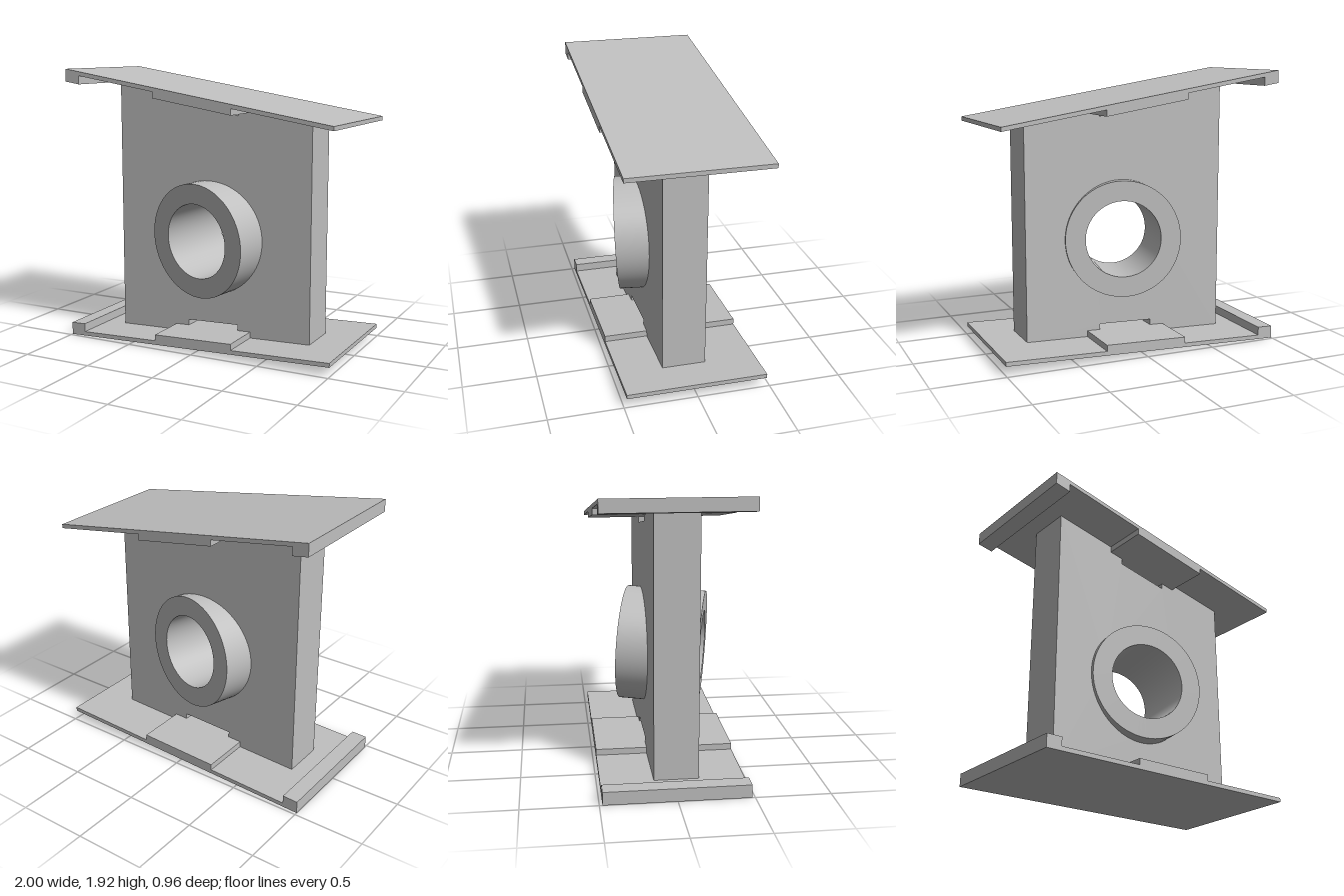
import * as THREE from 'three';
import { toCreasedNormals } from 'three/addons/utils/BufferGeometryUtils.js';

// Sloping outer faces of the two plates
const topLine = (x) => 1.7625 - 0.1625 * x;
const bottomLine = (x) => 0.0325 + 0.0325 * x;

// Points at a given depth inward from a sloping line: [x, depth]
const along = (line, dir, list) =>
  list.map(([x, d]) => new THREE.Vector2(x, line(x) + dir * d));

// Extrude a shape between two z positions
function slab(shape, z0, z1) {
  const geo = new THREE.ExtrudeGeometry(shape, {
    depth: z1 - z0, bevelEnabled: false, curveSegments: 32,
  });
  return geo.translate(0, 0, z0);
}

export function createModel() {
  const model = new THREE.Group();
  model.name = 'bearingBracket';
  const grey = new THREE.MeshStandardMaterial({ color: 0xbfbfbf });
  grey.name = 'grey';

  const add = (name, geo) => {
    const mesh = new THREE.Mesh(geo, grey);
    mesh.name = name;
    model.add(mesh);
    return mesh;
  };

  // Plates: thin sheet with an end lip and a raised central pad
  const plateProfile = [
    [-1, 0], [1, 0], [1, 0.029], [0.295, 0.029], [0.295, 0.072],
    [-0.295, 0.072], [-0.295, 0.029], [-0.89, 0.029], [-0.89, 0.088], [-1, 0.088],
  ];
  for (const [name, line, dir] of [['topPlate', topLine, -1], ['bottomPlate', bottomLine, 1]]) {
    add(name, slab(new THREE.Shape(along(line, dir, plateProfile)), -0.48, 0.48));
  }

  // Web: thick upright wall, notched behind each pad
  const webEdge = [
    [-0.74, 0.02], [-0.193, 0.02], [-0.193, 0.113],
    [0.197, 0.113], [0.197, 0.02], [0.74, 0.02],
  ];
  const web = new THREE.Shape([
    ...along(bottomLine, 1, webEdge),
    ...along(topLine, -1, webEdge).reverse(),
  ]);

  // Skewed sleeve axis, front to back
  const front = new THREE.Vector3(-0.065, 0.747, 0.3);
  const back = new THREE.Vector3(0.068, 0.775, -0.243);
  const centre = front.clone().add(back).multiplyScalar(0.5);
  const axis = front.clone().sub(back);
  const half = axis.length() / 2;

  // Opening in the web, its edge hidden inside the sleeve wall
  const opening = new THREE.Path();
  opening.absarc(centre.x, centre.y, 0.335, 0, Math.PI * 2, true);
  web.holes.push(opening);
  add('web', slab(web, -0.125, 0.175));

  // Sleeve: hollow cylinder passing through the web
  const ring = [[0.265, -half], [0.405, -half], [0.405, half], [0.265, half], [0.265, -half]]
    .map(([r, y]) => new THREE.Vector2(r, y));
  const sleeve = add('sleeve', toCreasedNormals(new THREE.LatheGeometry(ring, 72), 0.5));
  sleeve.position.copy(centre);
  sleeve.quaternion.setFromUnitVectors(new THREE.Vector3(0, 1, 0), axis.normalize());

  return model;
}
